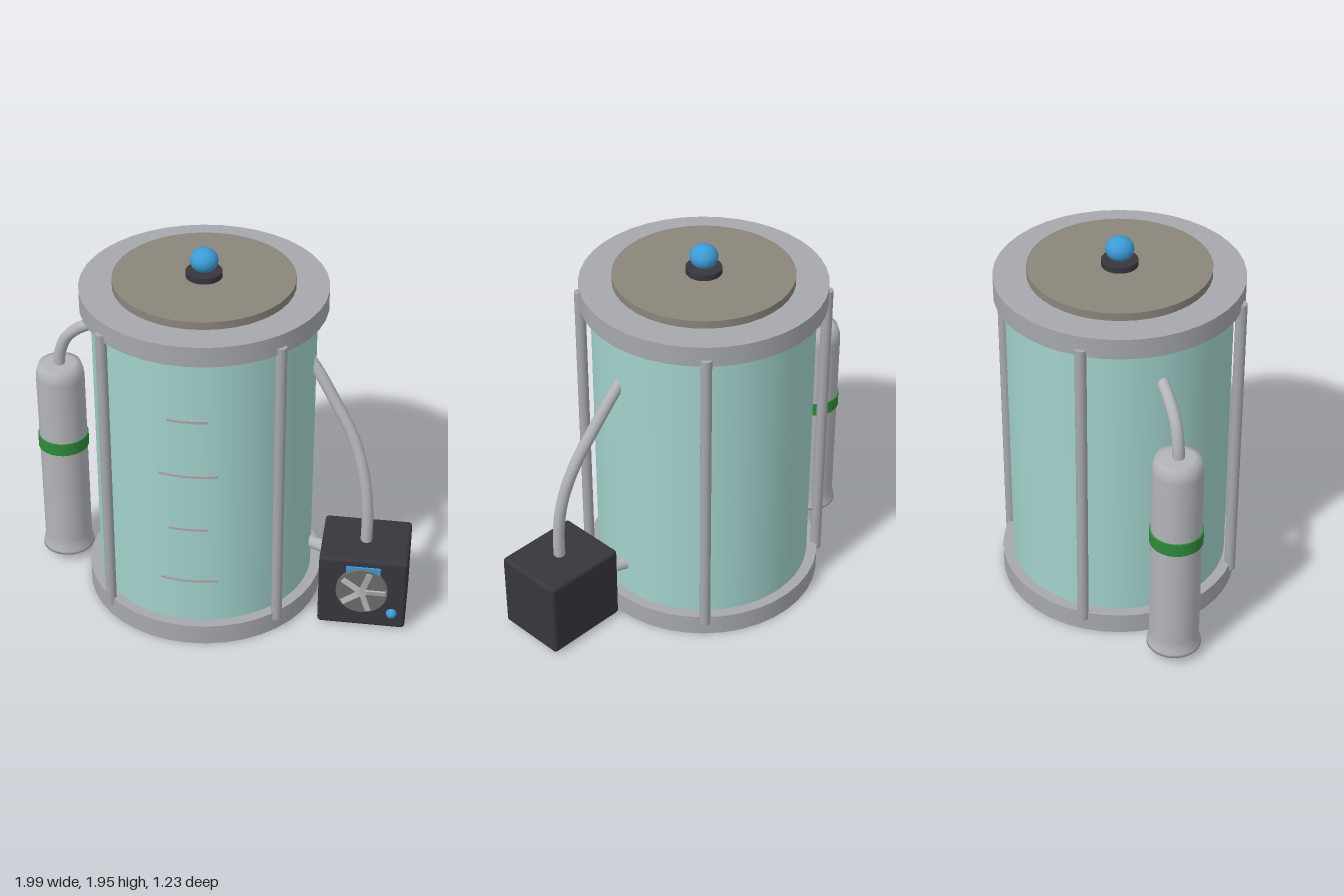
import * as THREE from 'three';
import { RoundedBoxGeometry } from 'three/addons/geometries/RoundedBoxGeometry.js';

const paint = (name, color) => {
  const m = new THREE.MeshStandardMaterial({ color });
  m.name = name;
  return m;
};

export function createModel() {
  const metal = paint('brushed metal', 0xa6a8ad);
  const steel = paint('light steel', 0xb2b4b8);
  const glass = paint('aqua glass', 0xa2d2cc);
  const lidTone = paint('taupe lid', 0x8b867b);
  const dark = paint('charcoal', 0x38363e);
  const blue = paint('blue', 0x3d9bd6);
  const green = paint('green', 0x2f8a3a);
  const grille = paint('fan grey', 0x6c6d67);

  const model = new THREE.Group();
  const add = (name, geo, mat, x = 0, y = 0, z = 0, parent = model) => {
    const mesh = new THREE.Mesh(geo, mat);
    mesh.name = name;
    mesh.position.set(x, y, z);
    parent.add(mesh);
    return mesh;
  };
  const disc = (r, y0, y1, seg = 32) =>
    new THREE.CylinderGeometry(r, r, y1 - y0, seg).translate(0, (y0 + y1) / 2, 0);
  const hose = (name, pts, r = 0.03) => {
    const path = new THREE.CatmullRomCurve3(pts.map(p => new THREE.Vector3(...p)));
    const mat = steel;
    add(name, new THREE.TubeGeometry(path, 32, r, 12), mat);
    // end caps
    [0, 1].forEach(t => {
      const cap = add(name + 'End', new THREE.CircleGeometry(r, 12), mat);
      cap.position.copy(path.getPoint(t));
      const dir = path.getTangent(t).multiplyScalar(t ? 1 : -1);
      cap.lookAt(cap.position.clone().add(dir));
    });
  };

  // Tank
  const tank = new THREE.Group();
  tank.name = 'tank';
  tank.position.x = -0.09;
  model.add(tank);
  add('baseRing', disc(0.613, 0, 0.11, 40), metal, 0, 0, 0, tank);
  add('glassBody', disc(0.558, 0.1, 1.67, 48), glass, 0, 0, 0, tank);
  add('topRing', disc(0.613, 1.655, 1.76, 40), metal, 0, 0, 0, tank);
  add('lid', disc(0.45, 1.75, 1.8, 40), lidTone, 0, 0, 0, tank);
  add('knobBase', disc(0.09, 1.8, 1.83), dark, 0, 0, 0, tank);
  const knob = add('knob', new THREE.SphereGeometry(0.07, 24, 16), blue, 0, 1.887, 0, tank);
  knob.scale.y = 0.87;

  // Four corner rods
  for (const sx of [-1, 1]) for (const sz of [-1, 1])
    add('supportRod', disc(0.028, 0.07, 1.69, 12), metal, sx * 0.43, 0, sz * 0.43, tank);

  // Level marks, alternating long and short, bent to the glass
  [[0.363, 0.29], [0.682, 0.2], [1.0, 0.29], [1.316, 0.2]].forEach(([y, w]) => {
    const g = new THREE.BoxGeometry(w, 0.013, 0.009, 8, 1, 1);
    const p = g.attributes.position;
    for (let i = 0; i < p.count; i++) {
      const x = p.getX(i);
      p.setZ(i, p.getZ(i) + Math.sqrt(0.562 ** 2 - x * x));
    }
    g.computeVertexNormals();
    add('levelMark', g, metal, 0, y, 0, tank);
  });

  // Gas bottle
  const profile = [[0, 0.05], [0.138, 0.05], [0.136, 0.065], [0.127, 0.095], [0.125, 0.13],
    [0.125, 1.11], [0.122, 1.135], [0.109, 1.18], [0.08, 1.182], [0, 1.184]];
  add('bottle', new THREE.LatheGeometry(profile.map(p => new THREE.Vector2(...p)), 32),
    steel, -0.857, 0, -0.093);
  add('bottleBand', disc(0.132, 0.69, 0.76), green, -0.857, 0, -0.093);
  hose('bottleHose', [[-0.86, 1.16, -0.093], [-0.85, 1.25, -0.092], [-0.81, 1.345, -0.085],
    [-0.74, 1.41, -0.075], [-0.64, 1.46, -0.06], [-0.6, 1.48, -0.055]]);

  // Pump
  add('pumpBox', new RoundedBoxGeometry(0.45, 0.415, 0.377, 3, 0.02), dark, 0.77, 0.222, 0.178);
  add('bluePanel', new THREE.BoxGeometry(0.175, 0.19, 0.009), blue, 0.772, 0.296, 0.371);
  const fan = new THREE.Group();
  fan.name = 'fan';
  fan.position.set(0.769, 0.25, 0.375);
  model.add(fan);
  add('fanDisc', new THREE.CylinderGeometry(0.132, 0.132, 0.024, 32).rotateX(Math.PI / 2),
    grille, 0, 0, 0, fan);
  for (let i = 0; i < 5; i++) {
    const a = i * Math.PI * 2 / 5;
    const blade = add('fanBlade', new THREE.BoxGeometry(0.115, 0.03, 0.009).translate(0.064, 0, 0),
      steel, 0, 0, 0.015, fan);
    blade.rotation.set(0.25, 0, a, 'ZYX');
  }
  add('fanHub', new THREE.CylinderGeometry(0.026, 0.026, 0.014, 16).rotateX(Math.PI / 2),
    steel, 0, 0, 0.014, fan);
  add('pumpButton', new THREE.SphereGeometry(0.027, 16, 12), blue, 0.925, 0.113, 0.37);

  // Pump pipes
  hose('pumpHose', [[0.44, 1.4, 0.04], [0.485, 1.34, 0.052], [0.57, 1.2, 0.08], [0.68, 1.0, 0.12],
    [0.742, 0.8, 0.157], [0.768, 0.6, 0.178], [0.77, 0.4, 0.182]]);
  hose('pumpInlet', [[0.45, 0.275, 0.025], [0.52, 0.275, 0.055], [0.6, 0.275, 0.1]], 0.034);

  return model;
}
